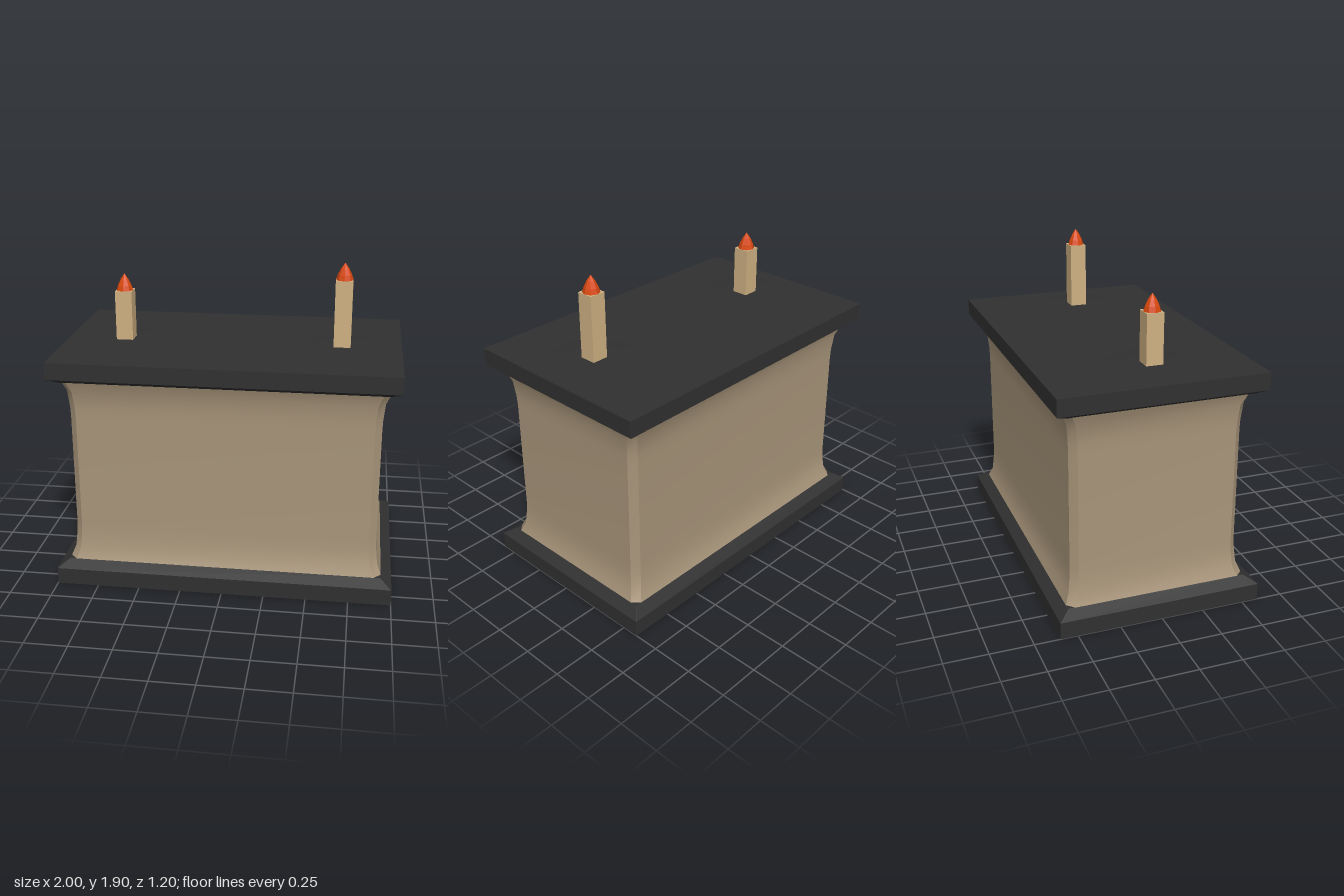
import * as THREE from 'three';
import { toCreasedNormals } from 'three/addons/utils/BufferGeometryUtils.js';

// Stack of chamfered rectangles, each ring = [y, half width, half depth, chamfer]
function loft(rings, crease) {
  const pos = [], idx = [], n = 8;
  for (const [y, w, d, c] of rings) {
    const outline = [
      [w, d - c], [w, c - d], [w - c, -d], [c - w, -d],
      [-w, c - d], [-w, d - c], [c - w, d], [w - c, d],
    ];
    for (const [x, z] of outline) pos.push(x, y, z);
  }
  for (let r = 0; r < rings.length - 1; r++) {
    for (let i = 0; i < n; i++) {
      const a = r * n + i, b = r * n + (i + 1) % n;
      idx.push(a, b, b + n, a, b + n, a + n);
    }
  }
  const top = (rings.length - 1) * n;
  for (let i = 1; i < n - 1; i++) {
    idx.push(0, i + 1, i, top, top + i, top + i + 1);
  }
  const geo = new THREE.BufferGeometry();
  geo.setAttribute('position', new THREE.Float32BufferAttribute(pos, 3));
  geo.setIndex(idx);
  return toCreasedNormals(geo, crease);
}

export function createModel() {
  const model = new THREE.Group();
  model.name = 'candleAltar';

  const material = (name, color, flatShading = false) => {
    const m = new THREE.MeshStandardMaterial({ color, flatShading });
    m.name = name;
    return m;
  };
  const darkStone = material('darkStone', 0x303030);
  const paleStone = material('paleStone', 0xa8957a);
  const wax = material('wax', 0xcfb182);
  const flameOrange = material('flameOrange', 0xd9480f, true);

  const add = (parent, name, geo, mat, x = 0, y = 0, z = 0) => {
    const mesh = new THREE.Mesh(geo, mat);
    mesh.name = name;
    mesh.position.set(x, y, z);
    parent.add(mesh);
  };

  // Slabs with bevels running in toward the body
  const e = 0.002;
  add(model, 'baseSlab', loft([
    [0, 1, 0.6, e], [0.1, 1, 0.6, e], [0.14, 0.935, 0.535, e],
  ], 0.2), darkStone);
  add(model, 'topSlab', loft([
    [1.265, 0.935, 0.535, e], [1.3, 1, 0.6, e], [1.4, 1, 0.6, e],
  ], 0.2), darkStone);

  // Body flaring out at both ends, with chamfered corners
  const flare = [[0.13, 0.04], [0.2, 0.012], [0.3, 0.002], [0.36, 0]];
  const profile = [...flare, ...flare.map(([y, o]) => [1.4 - y, o]).reverse()];
  add(model, 'body', loft(
    profile.map(([y, o]) => [y, 0.9 + o, 0.5 + o, 0.04]), 0.6), paleStone);

  // Candles, each standing on a thin dark stain
  const flame = new THREE.LatheGeometry(
    [[0.05, 0], [0.041, 0.03], [0.024, 0.065], [0, 0.1]]
      .map(([x, y]) => new THREE.Vector2(x, y)), 8);
  for (const [name, x, h] of [['rightCandle', -0.65, 0.3], ['leftCandle', 0.65, 0.4]]) {
    const candle = new THREE.Group();
    candle.name = name;
    candle.position.set(x, 1.4, 0.05);
    add(candle, 'stain', new THREE.CylinderGeometry(0.15, 0.27, 0.006, 10), darkStone, 0, 0.003);
    add(candle, 'stick', new THREE.BoxGeometry(0.1, h, 0.1), wax, 0, h / 2);
    add(candle, 'flame', flame, flameOrange, 0, h);
    model.add(candle);
  }
  return model;
}
